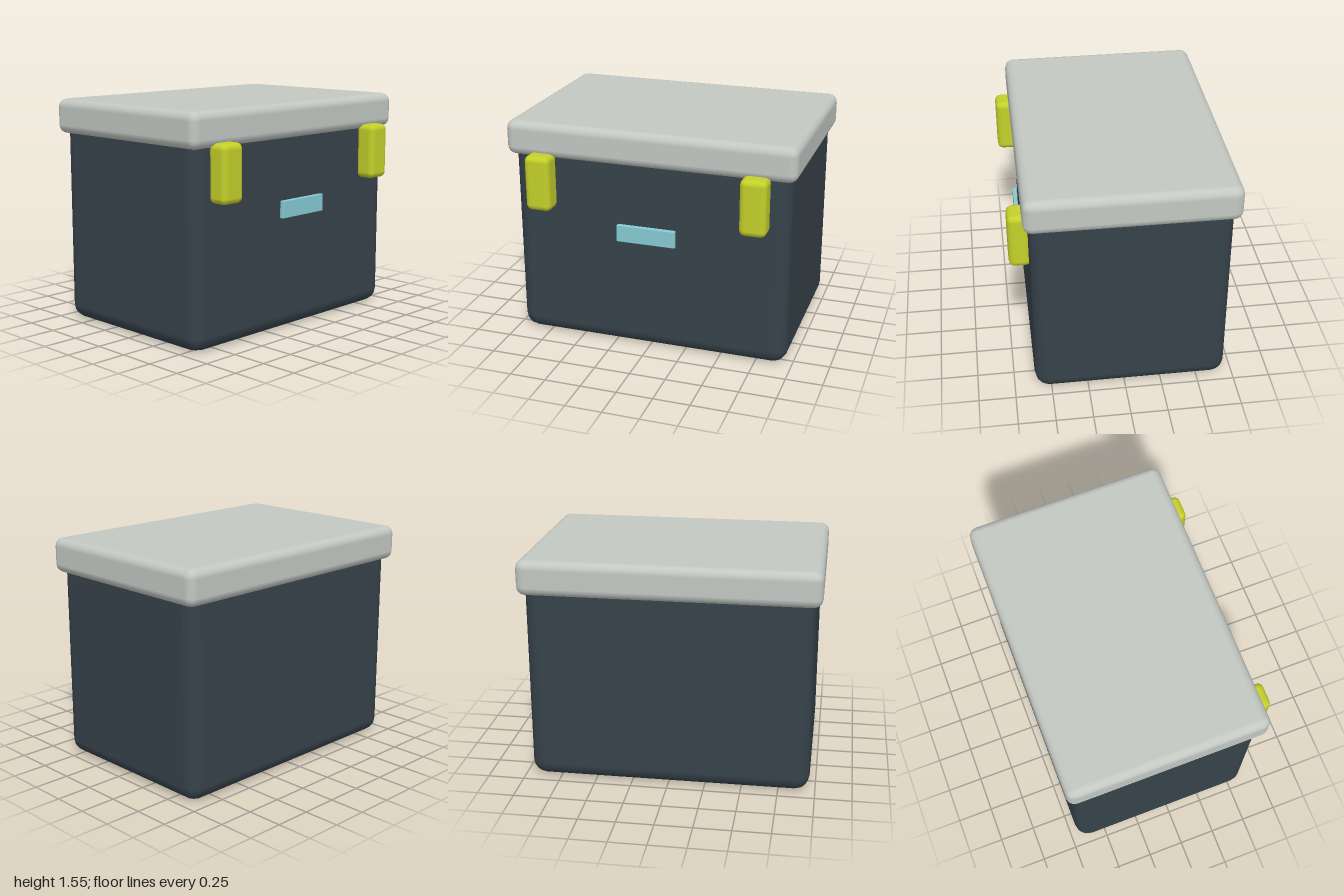
import * as THREE from 'three';
import { RoundedBoxGeometry } from 'three/addons/geometries/RoundedBoxGeometry.js';

function material(name, color) {
  const m = new THREE.MeshStandardMaterial({ color });
  m.name = name;
  return m;
}

// Rounded box given by its [min, max] extent on each axis
function roundedBox(name, mat, [x0, x1], [y0, y1], [z0, z1], radius) {
  const geometry = new RoundedBoxGeometry(x1 - x0, y1 - y0, z1 - z0, 2, radius);
  const mesh = new THREE.Mesh(geometry, mat);
  mesh.name = name;
  mesh.position.set((x0 + x1) / 2, (y0 + y1) / 2, (z0 + z1) / 2);
  return mesh;
}

export function createModel() {
  const slate = material('dark slate', 0x36424a);
  const grey = material('light grey', 0xc3c8c3);
  const lime = material('lime yellow', 0xc4d02a);
  const aqua = material('pale aqua', 0x86cbd3);

  const group = new THREE.Group();
  group.name = 'coolBox';

  // Body reaches up inside the overhanging lid
  group.add(roundedBox('body', slate, [-0.96, 0.96], [0, 1.41], [-0.7, 0.61], 0.1));
  group.add(roundedBox('lid', grey, [-1, 1], [1.315, 1.555], [-0.738, 0.646], 0.06));

  // Pair of latches on the front
  for (const [name, side] of [['leftLatch', 1], ['rightLatch', -1]]) {
    const latch = roundedBox(name, lime, [-0.09, 0.09], [0.966, 1.35], [0.588, 0.738], 0.04);
    latch.position.x = side * 0.74;
    group.add(latch);
  }

  // Blank name plate standing just off the front face
  group.add(roundedBox('namePlate', aqua, [-0.205, 0.205], [0.79, 0.91], [0.634, 0.663], 0.006));

  return group;
}
